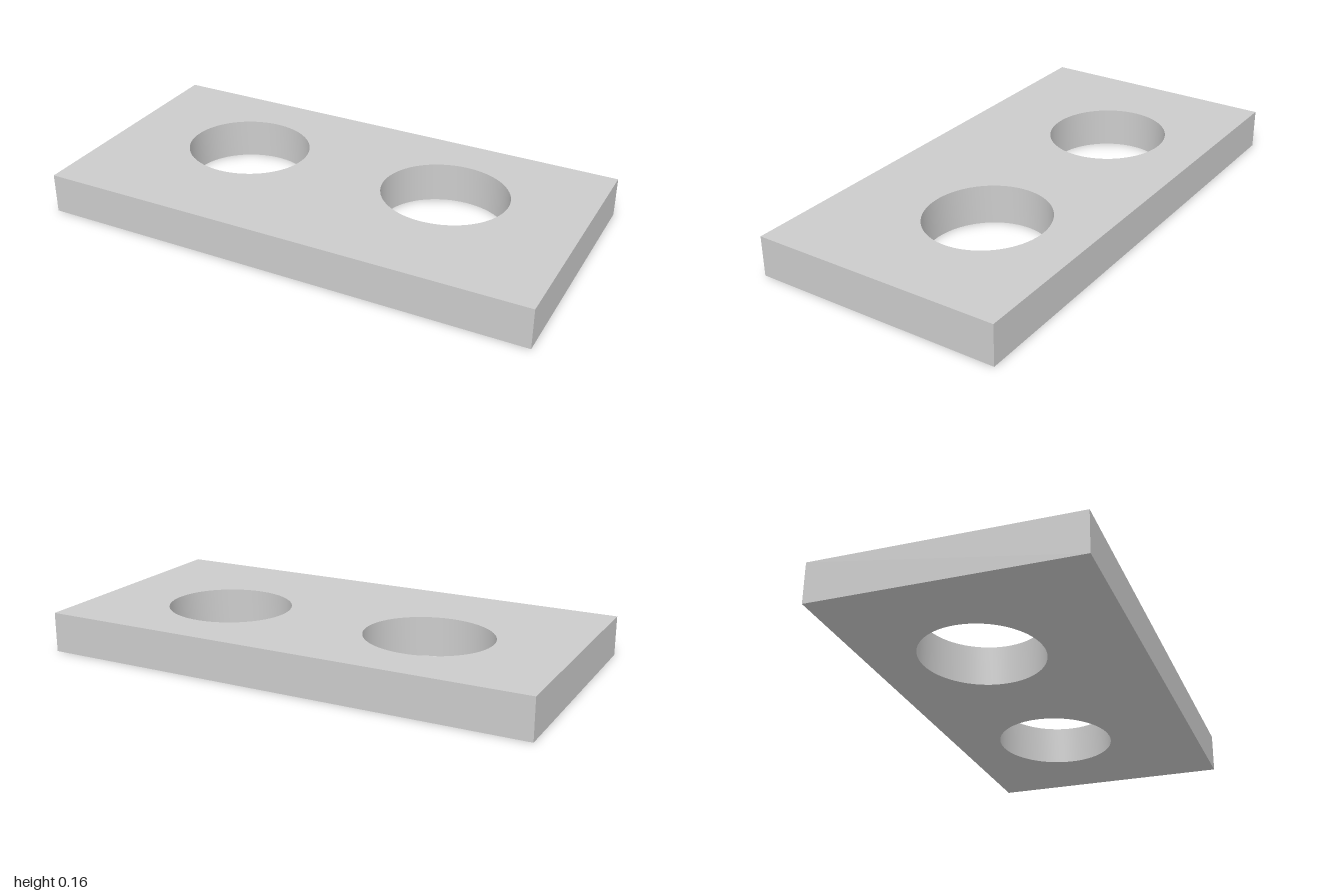
import * as THREE from 'three';
import { toCreasedNormals } from 'three/addons/utils/BufferGeometryUtils.js';

const HALF_WIDTH = 1;
const HALF_DEPTH = 0.503;
const THICKNESS = 0.161;
const HOLE_RX = 0.254;
const HOLE_RZ = 0.237;
const HOLES = [[-0.441, -0.075], [0.438, -0.08]]; // centres as x, z

export function createModel() {
  const group = new THREE.Group();
  group.name = 'twoHolePlate';

  // Rectangular outline, drawn with shape y = -z
  const outline = new THREE.Shape([
    new THREE.Vector2(-HALF_WIDTH, -HALF_DEPTH),
    new THREE.Vector2(HALF_WIDTH, -HALF_DEPTH),
    new THREE.Vector2(HALF_WIDTH, HALF_DEPTH),
    new THREE.Vector2(-HALF_WIDTH, HALF_DEPTH),
  ]);

  // Two slightly oval through holes
  for (const [x, z] of HOLES) {
    const hole = new THREE.Path();
    hole.absellipse(x, -z, HOLE_RX, HOLE_RZ, 0, Math.PI * 2, true);
    outline.holes.push(hole);
  }

  // Lay the slab flat, with smooth hole walls and sharp rims
  const slab = new THREE.ExtrudeGeometry(outline, {
    depth: THICKNESS, bevelEnabled: false, curveSegments: 40,
  });
  slab.rotateX(-Math.PI / 2);

  const plate = new THREE.Mesh(
    toCreasedNormals(slab, 0.6),
    new THREE.MeshStandardMaterial({ color: 0xcccccc }),
  );
  plate.name = 'plate';
  group.add(plate);
  return group;
}
